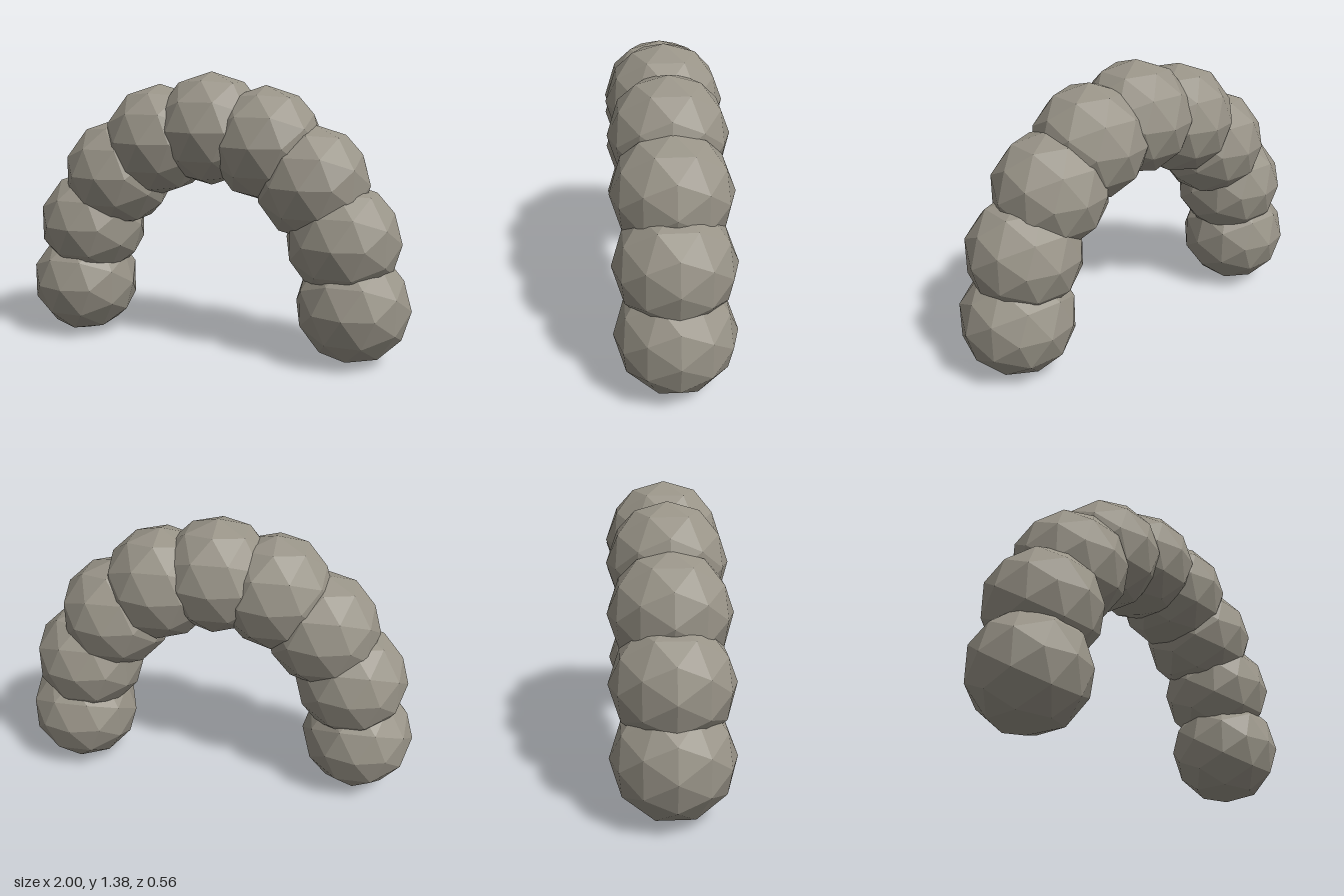
import * as THREE from 'three';

export function createModel() {
  const group = new THREE.Group();
  group.name = 'stoneArch';

  const stone = new THREE.MeshStandardMaterial({ color: 0x999488 });
  stone.name = 'warm grey stone';

  // Faceted boulder, turned so its short edges lie level across the front
  const radius = 0.278;
  const boulder = new THREE.IcosahedronGeometry(radius, 1);
  boulder.rotateX(Math.PI / 2);
  boulder.computeVertexNormals(); // unshared corners, so each facet stays flat

  // Nine boulders spaced evenly by angle along a half ellipse
  const count = 9, halfSpan = 1 - radius, rise = 0.825, baseY = 0.28;
  for (let i = 0; i < count; i++) {
    const a = Math.PI * i / (count - 1);
    const mesh = new THREE.Mesh(boulder, stone);
    mesh.name = `archStone${i + 1}`;
    mesh.position.set(halfSpan * Math.cos(a), baseY + rise * Math.sin(a), 0);
    group.add(mesh);
  }
  return group;
}
